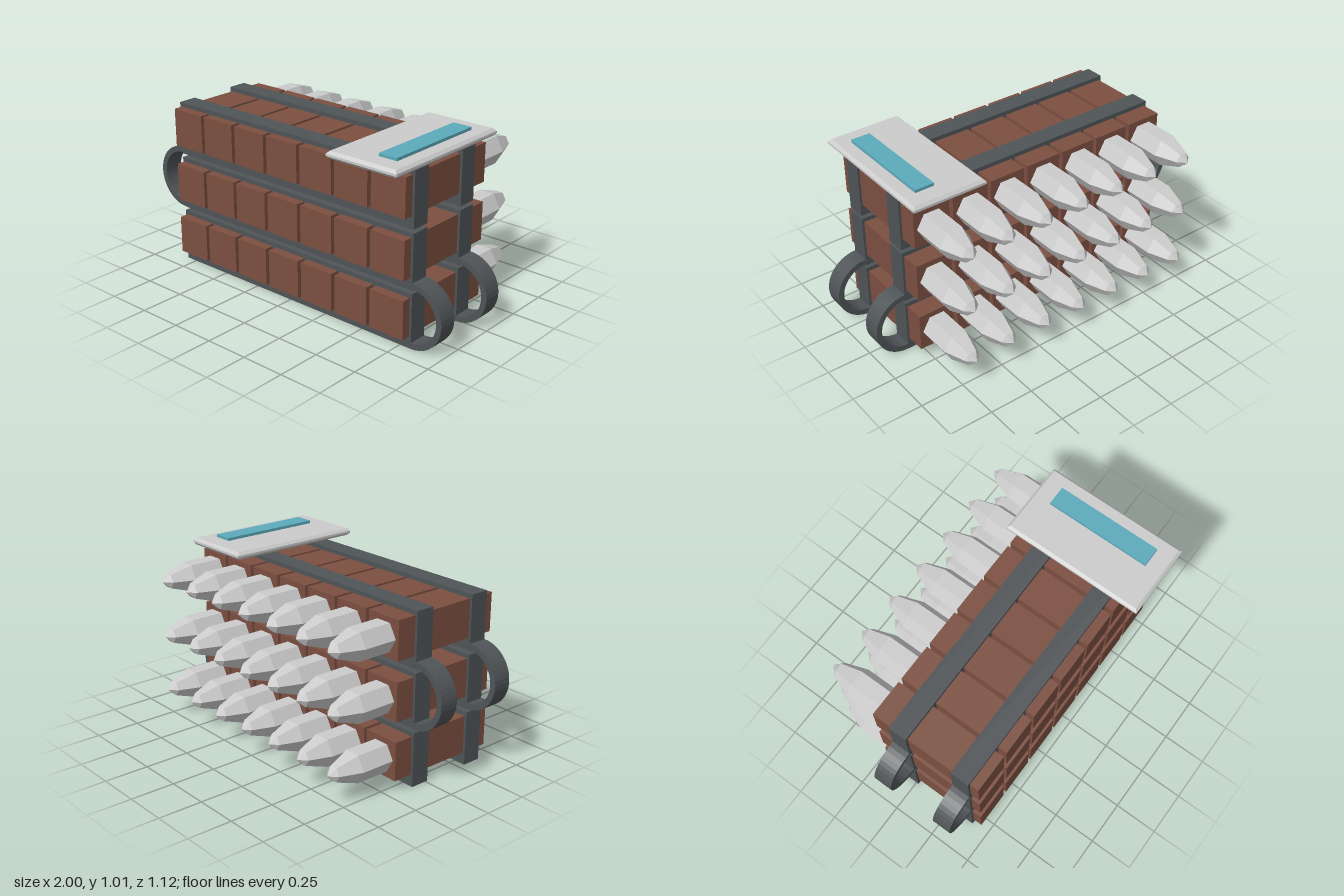
import * as THREE from 'three';

const mat = (color) => new THREE.MeshStandardMaterial({ color, flatShading: true });

function rect(path, x0, y0, x1, y1) {
  path.moveTo(x0, y0);
  path.lineTo(x1, y0);
  path.lineTo(x1, y1);
  path.lineTo(x0, y1);
  path.closePath();
  return path;
}

export function createModel() {
  const model = new THREE.Group();
  const grey = mat(0xcccccc), brown = mat(0x7c4f40), dark = mat(0x4f5457), teal = mat(0x5caabb);

  const add = (name, geometry, material, x, y, z) => {
    const mesh = new THREE.Mesh(geometry, material);
    mesh.name = name;
    mesh.position.set(x, y, z);
    model.add(mesh);
    return mesh;
  };

  const COLS = 7, STEP = 0.233, CASE_W = 0.211, CASE_H = 0.213;
  const ROWS = [0.175, 0.498, 0.822];
  const STRAP_Z = [0.345, -0.04], STRAP_W = 0.108;
  const colX = (i) => (i - (COLS - 1) / 2) * STEP;

  // Casing block and six-sided pointed tip, repeated in every cell
  const caseGeo = new THREE.BoxGeometry(CASE_W, CASE_H, 0.657);
  const tipProfile = [[0, 0], [0.0875, 0], [0.0875, 0.195], [0.044, 0.318], [0, 0.358]]
    .map(([r, h]) => new THREE.Vector2(r, h));
  const tipGeo = new THREE.LatheGeometry(tipProfile, 6, Math.PI / 2).rotateX(-Math.PI / 2);

  // Belt frame around one row, with one opening per casing
  const frame = rect(new THREE.Shape(), -0.818, -0.172, 0.818, 0.13);
  for (let i = 0; i < COLS; i++) {
    const x = colX(i), w = CASE_W / 2, h = CASE_H / 2;
    frame.holes.push(rect(new THREE.Path(), x - w, -h, x + w, h));
  }
  const extrude = (shape) =>
    new THREE.ExtrudeGeometry(shape, { depth: STRAP_W, bevelEnabled: false, curveSegments: 10 })
      .translate(0, 0, -STRAP_W / 2);
  const frameGeo = extrude(frame);

  for (const y of ROWS) {
    for (let i = 0; i < COLS; i++) {
      add('casing', caseGeo, brown, colX(i), y, 0.1235);
      add('tip', tipGeo, grey, colX(i), y, -0.204);
    }
    for (const z of STRAP_Z) add('beltFrame', frameGeo, dark, 0, y, z);
  }

  // Half-round belt loops joining neighbouring rows
  const loop = new THREE.Shape();
  loop.absarc(0, 0, 0.181, -Math.PI / 2, Math.PI / 2, false);
  loop.absarc(0, 0, 0.149, Math.PI / 2, -Math.PI / 2, true);
  loop.closePath();
  const loopGeo = extrude(loop);
  for (const z of STRAP_Z) {
    add('rightSideLoop', loopGeo, dark, 0.818, 0.184, z).name = 'leftBeltLoop';
    const other = add('rightBeltLoop', loopGeo, dark, -0.818, 0.508, z);
    other.rotation.z = Math.PI;
  }

  // Chamfered cover plate with a coloured inset strip
  const B = 0.015;
  const plate = rect(new THREE.Shape(), -0.215 + B, -0.41 + B, 0.215 - B, 0.41 - B);
  const plateGeo = new THREE.ExtrudeGeometry(plate, {
    depth: 0.012, bevelEnabled: true, bevelSize: B, bevelThickness: B, bevelSegments: 1,
  }).translate(0, 0, -0.006).rotateX(-Math.PI / 2);
  add('coverPlate', plateGeo, grey, 0.616, 0.975, 0.15);
  add('coverStrip', new THREE.BoxGeometry(0.11, 0.03, 0.602), teal, 0.695, 0.997, 0.151);

  return model;
}
